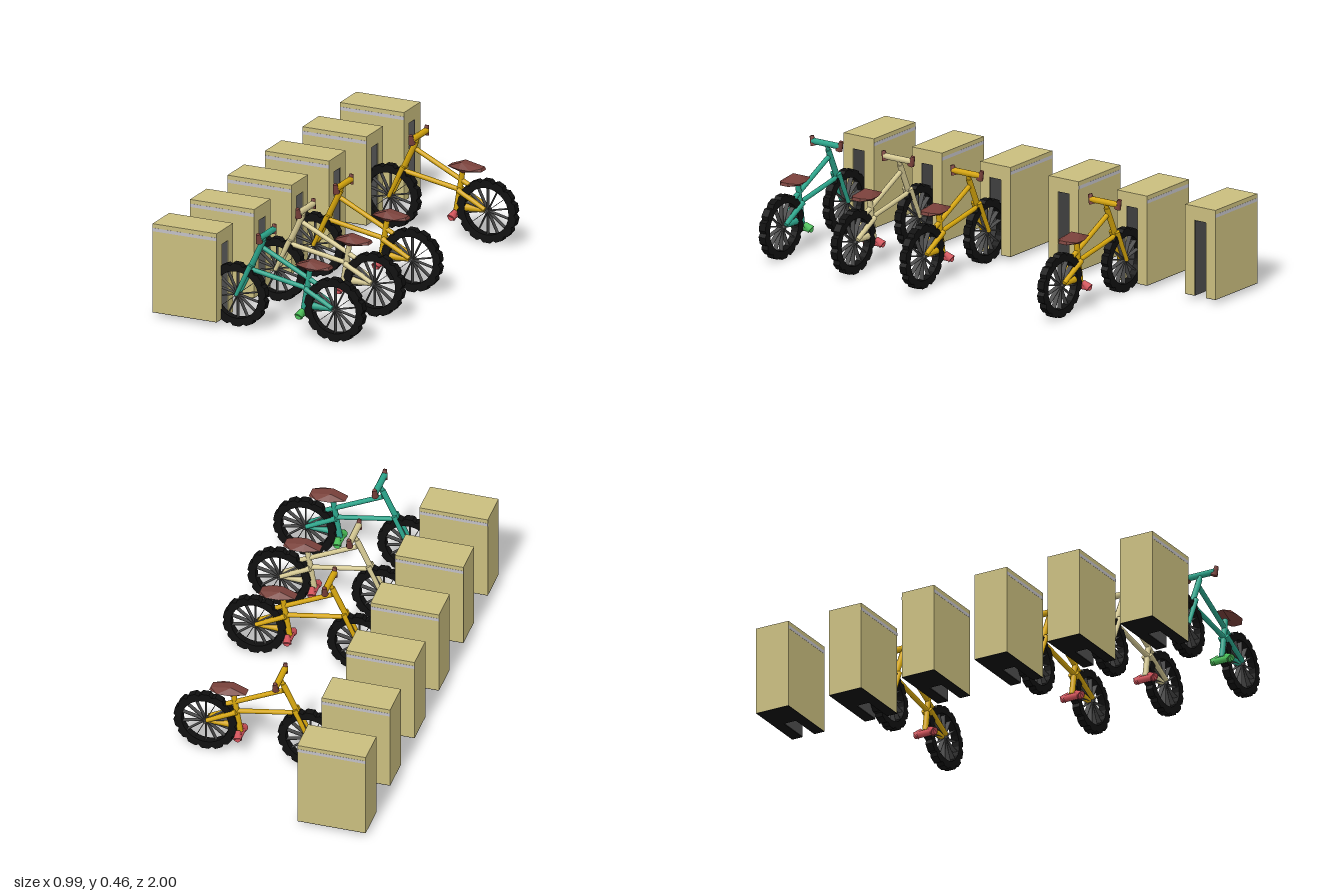
import * as THREE from 'three';
import { ConvexGeometry } from 'three/addons/geometries/ConvexGeometry.js';

const mat = (name, color) => {
  const m = new THREE.MeshStandardMaterial({ color });
  m.name = name;
  return m;
};
const M = {
  tan: mat('standTan', 0xc9bd7e),
  stripe: mat('paleGrey', 0xc2c0c6),
  charcoal: mat('charcoal', 0x4c4c4c),
  black: mat('black', 0x101010),
  brown: mat('saddleBrown', 0x78403a),
  teal: mat('teal', 0x2ba58b),
  yellow: mat('yellow', 0xd6a60c),
  cream: mat('cream', 0xd6ca94),
  red: mat('red', 0xd2525a),
  green: mat('green', 0x4abf58),
};

function add(parent, name, geometry, material) {
  const mesh = new THREE.Mesh(geometry, material);
  mesh.name = name;
  parent.add(mesh);
  return mesh;
}

// box given by its two opposite corners
function block(parent, name, a, b, material) {
  const g = new THREE.BoxGeometry(b[0] - a[0], b[1] - a[1], b[2] - a[2]);
  g.translate((a[0] + b[0]) / 2, (a[1] + b[1]) / 2, (a[2] + b[2]) / 2);
  return add(parent, name, g, material);
}

// straight, optionally tapered tube between two points
function rod(parent, name, a, b, ra, rb, material, sides = 10) {
  const p = new THREE.Vector3(...a), q = new THREE.Vector3(...b);
  const d = q.clone().sub(p);
  const mesh = add(parent, name, new THREE.CylinderGeometry(rb, ra, d.length(), sides), material);
  mesh.position.copy(p).add(q).multiplyScalar(0.5);
  mesh.quaternion.setFromUnitVectors(new THREE.Vector3(0, 1, 0), d.normalize());
  return mesh;
}

// parking stand with a wheel slot open to +x and below
function makeStand() {
  const g = new THREE.Group();
  g.name = 'parkingStand';
  const x0 = -0.495, x1 = -0.188, xs = -0.345;
  const y0 = 0.022, ys = 0.36, y1 = 0.422, w = 0.08, s = 0.03;
  block(g, 'standTop', [x0, ys, -w], [x1, y1, w], M.tan);
  block(g, 'standBack', [x0, y0, -w], [xs, ys, w], M.tan);
  block(g, 'slotEnd', [xs, y0, -s], [xs + 0.003, ys, s], M.black);
  block(g, 'slotCeiling', [xs, ys - 0.003, -s], [x1 - 0.002, ys, s], M.charcoal);
  block(g, 'baseBack', [x0, y0 - 0.002, -w], [xs, y0, w], M.black);
  for (const k of [-1, 1]) {
    const span = (name, u, v, xa, xb, ya, yb, m) =>
      block(g, name, [xa, ya, Math.min(k * u, k * v)], [xb, yb, Math.max(k * u, k * v)], m);
    span('standSide', s, w, xs, x1, y0, ys, M.tan);
    span('slotLining', s - 0.002, s, xs, x1 - 0.002, y0, ys, M.charcoal);
    span('baseSide', s, w, xs, x1, y0 - 0.002, y0, M.black);
    span('sideStripe', w, w + 0.0006, x0, x1, 0.388, 0.403, M.stripe);
  }
  return g;
}

// knobbly tyre with flat spokes
const LOBES = 14;
function tyreGeometry() {
  const pts = [], hole = [];
  const at = (r, t) => new THREE.Vector2(r * Math.cos(t), r * Math.sin(t));
  const step = (Math.PI * 2) / LOBES;
  for (let i = 0; i < LOBES; i++) {
    const c = Math.PI / 2 + i * step;
    pts.push(at(0.131, c - step * 0.5), at(0.142, c - step * 0.27), at(0.143, c + step * 0.27));
    hole.push(at(0.106, c), at(0.106, c + step / 2));
  }
  const shape = new THREE.Shape(pts);
  shape.holes.push(new THREE.Path(hole));
  const geo = new THREE.ExtrudeGeometry(shape, { depth: 0.034, bevelEnabled: false });
  return geo.translate(0, 0, -0.017);
}
const tyre = tyreGeometry();

function makeWheel(name, x) {
  const g = new THREE.Group();
  g.name = name;
  g.position.set(x, 0.143, 0);
  add(g, 'tyre', tyre, M.black);
  for (let i = 0; i < LOBES; i++) {
    const spoke = new THREE.BoxGeometry(0.108, 0.0022, 0.022);
    spoke.translate(0.054, 0, 0).rotateZ(Math.PI / 2 + (i * Math.PI * 2) / LOBES);
    add(g, 'spoke', spoke, M.charcoal);
  }
  rod(g, 'hub', [0, 0, -0.024], [0, 0, 0.024], 0.007, 0.007, M.charcoal);
  return g;
}

// faceted saddle: wide in the middle, pinched at both ends
function saddleGeometry() {
  const half = [
    [0.168, 0.325, 0.022], [0.235, 0.326, 0.05], [0.29, 0.325, 0.05], [0.332, 0.32, 0.022],
    [0.234, 0.35, 0.022], [0.327, 0.333, 0.018], [0.237, 0.302, 0.018],
  ];
  const pts = [];
  for (const [x, y, z] of half) pts.push(new THREE.Vector3(x, y, z), new THREE.Vector3(x, y, -z));
  return new ConvexGeometry(pts);
}
const saddle = saddleGeometry();

function makeBike(paint, pedalPaint) {
  const g = new THREE.Group();
  g.name = 'bicycle';
  g.add(makeWheel('frontWheel', -0.115), makeWheel('rearWheel', 0.352));

  // frame
  rod(g, 'steeringTube', [-0.055, 0.272, 0], [0.008, 0.405, 0], 0.013, 0.013, paint);
  rod(g, 'barStem', [0.003, 0.395, 0], [0.018, 0.428, 0], 0.009, 0.009, paint);
  rod(g, 'topTube', [0.007, 0.37, 0], [0.26, 0.246, 0], 0.011, 0.011, paint);
  rod(g, 'downTube', [-0.055, 0.265, 0], [0.22, 0.217, 0], 0.011, 0.011, paint);
  rod(g, 'seatTube', [0.199, 0.115, 0], [0.231, 0.312, 0], 0.013, 0.012, paint);
  rod(g, 'chainStay', [0.243, 0.143, 0], [0.342, 0.143, 0], 0.017, 0.012, paint);
  for (const k of [-1, 1]) {
    rod(g, 'forkLeg', [-0.048, 0.287, k * 0.015], [-0.115, 0.143, k * 0.019], 0.012, 0.009, paint);
    rod(g, 'seatStay', [0.213, 0.22, k * 0.014], [0.345, 0.152, k * 0.019], 0.013, 0.01, paint);
  }

  // handlebar, grips and pedals
  rod(g, 'handlebar', [0.02, 0.434, -0.072], [0.02, 0.434, 0.072], 0.014, 0.014, paint);
  for (const k of [-1, 1]) {
    rod(g, 'grip', [0.02, 0.415, k * 0.066], [0.02, 0.457, k * 0.079], 0.016, 0.009, M.brown, 8);
    rod(g, 'pedal', [0.203, 0.123, k * 0.016], [0.197, 0.1, k * 0.046], 0.011, 0.02, pedalPaint, 8);
  }
  rod(g, 'pedalAxle', [0.198, 0.103, -0.05], [0.198, 0.103, 0.05], 0.015, 0.015, pedalPaint);
  add(g, 'saddle', saddle, M.brown);
  return g;
}

export function createModel() {
  const model = new THREE.Group();
  model.name = 'bicycleParking';
  for (let i = 0; i < 6; i++) {
    const stand = makeStand();
    stand.position.z = -0.92 + i * 0.362;
    model.add(stand);
  }
  const bikes = [
    [0.91, M.teal, M.green], [0.53, M.cream, M.red],
    [0.165, M.yellow, M.red], [-0.565, M.yellow, M.red],
  ];
  for (const [z, paint, pedals] of bikes) {
    const bike = makeBike(paint, pedals);
    bike.position.z = z;
    model.add(bike);
  }
  return model;
}
